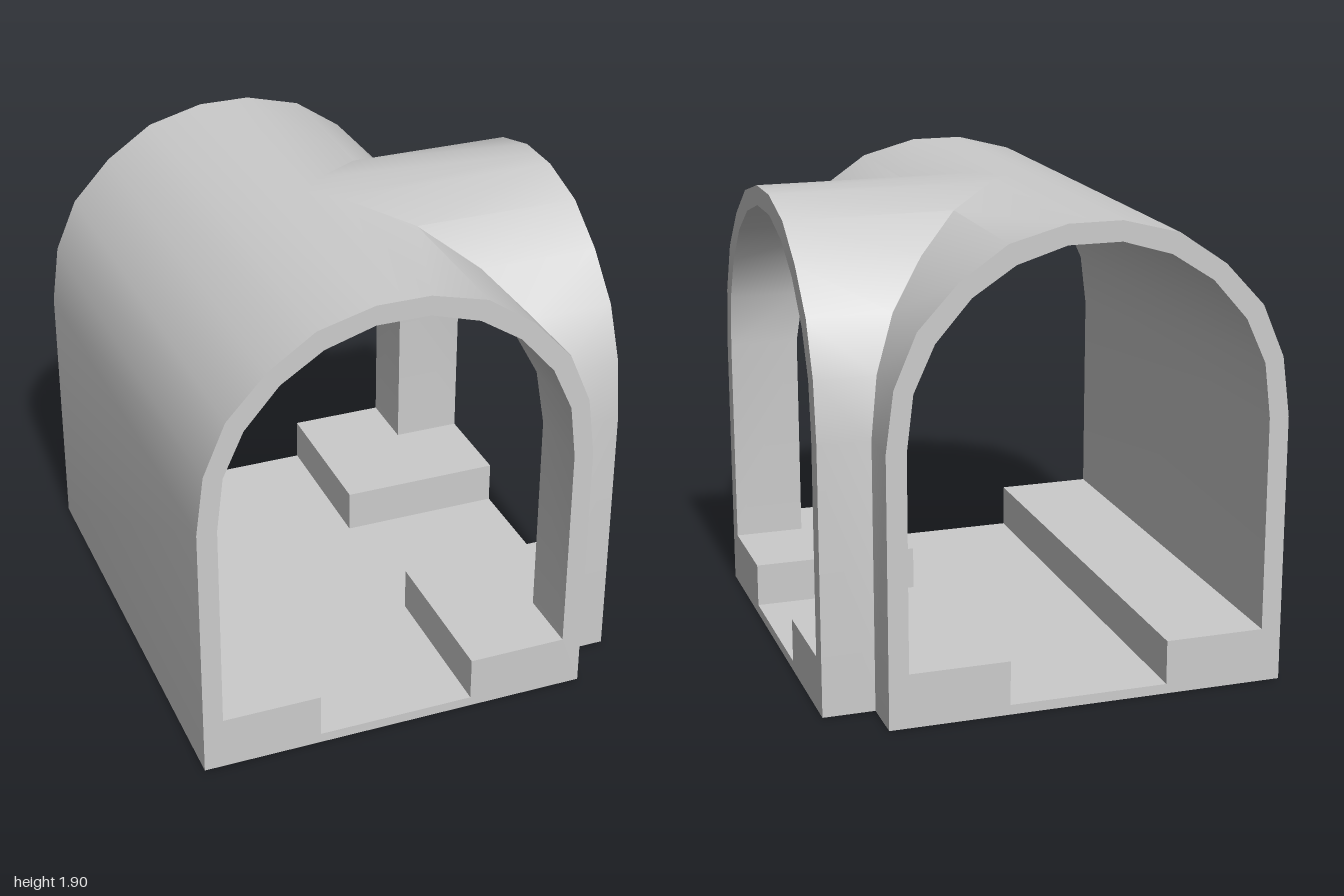
import * as THREE from 'three';
import { toCreasedNormals } from 'three/addons/utils/BufferGeometryUtils.js';

const CX = -0.105;   // axis of the main tunnel
const MAIN_END = 1;  // main tunnel opens at z = +-1
const SIDE_END = 0.91 - CX; // side tunnel opens at x = 0.91

// Half cross-section as (distance from axis, height), counter-clockwise
const base = [[0, 0], [0.805, 0]];
const outer = [[0.805, 0], [0.805, 1.09], [0.773, 1.33], [0.683, 1.54],
  [0.525, 1.71], [0.335, 1.84], [0.107, 1.9], [0, 1.9]];
const inner = [[0, 1.82], [0.107, 1.82], [0.305, 1.76], [0.475, 1.65],
  [0.615, 1.49], [0.698, 1.31], [0.725, 1.09], [0.725, 0.22]];
const floor = [[0.725, 0.22], [0.322, 0.22], [0.322, 0.04], [0, 0.04]];

// Half tunnels: those at the junction start on the 45 degree mitre (t = u)
const mitre = (u) => u;
const arms = [
  { map: (u, y, t) => [CX + u, y, t], near: mitre, far: MAIN_END, flip: false },
  { map: (u, y, t) => [CX + u, y, -t], near: mitre, far: MAIN_END, flip: true },
  { map: (u, y, t) => [CX + t, y, u], near: mitre, far: SIDE_END, flip: true },
  { map: (u, y, t) => [CX + t, y, -u], near: mitre, far: SIDE_END, flip: false },
  { map: (u, y, t) => [CX - u, y, t], near: () => -MAIN_END, far: MAIN_END, flip: true },
];

function pushTriangle(out, a, b, c, flip) {
  out.push(...a, ...(flip ? c : b), ...(flip ? b : c));
}

function toGeometry(positions) {
  const geometry = new THREE.BufferGeometry();
  geometry.setAttribute('position', new THREE.Float32BufferAttribute(positions, 3));
  geometry.computeVertexNormals();
  return toCreasedNormals(geometry, Math.PI / 6);
}

// Sweep a chain of the section along every half tunnel
function sweep(chain) {
  const out = [];
  for (const { map, near, far, flip } of arms) {
    for (let i = 0; i < chain.length - 1; i++) {
      const [pu, py] = chain[i];
      const [qu, qy] = chain[i + 1];
      const p0 = map(pu, py, near(pu)), p1 = map(pu, py, far);
      const q0 = map(qu, qy, near(qu)), q1 = map(qu, qy, far);
      pushTriangle(out, p0, q0, q1, flip);
      pushTriangle(out, p0, q1, p1, flip);
    }
  }
  return toGeometry(out);
}

// Flat faces of the three arched openings
function openingFaces() {
  const section = [...base, ...outer.slice(1), ...inner, ...floor.slice(1)]
    .map(([u, y]) => new THREE.Vector2(u, y));
  const faces = THREE.ShapeUtils.triangulateShape(section, []);
  const out = [];
  const cap = (map, t, flip) => {
    for (const face of faces) {
      const [a, b, c] = face.map((i) => map(section[i].x, section[i].y, t));
      pushTriangle(out, a, b, c, flip);
    }
  };
  for (const { map, near, far, flip } of arms) {
    cap(map, far, flip);
    if (near !== mitre) cap(map, near(), !flip);
  }
  return toGeometry(out);
}

export function createModel() {
  const group = new THREE.Group();
  group.name = 'tunnelJunction';
  const material = new THREE.MeshStandardMaterial({ color: 0xcccccc });
  const add = (name, geometry) => {
    const mesh = new THREE.Mesh(geometry, material);
    mesh.name = name;
    group.add(mesh);
  };
  add('outerVault', sweep(outer));
  add('innerVault', sweep(inner));
  add('walkwaysAndTrench', sweep(floor));
  add('underside', sweep(base));
  add('openingRims', openingFaces());
  return group;
}
